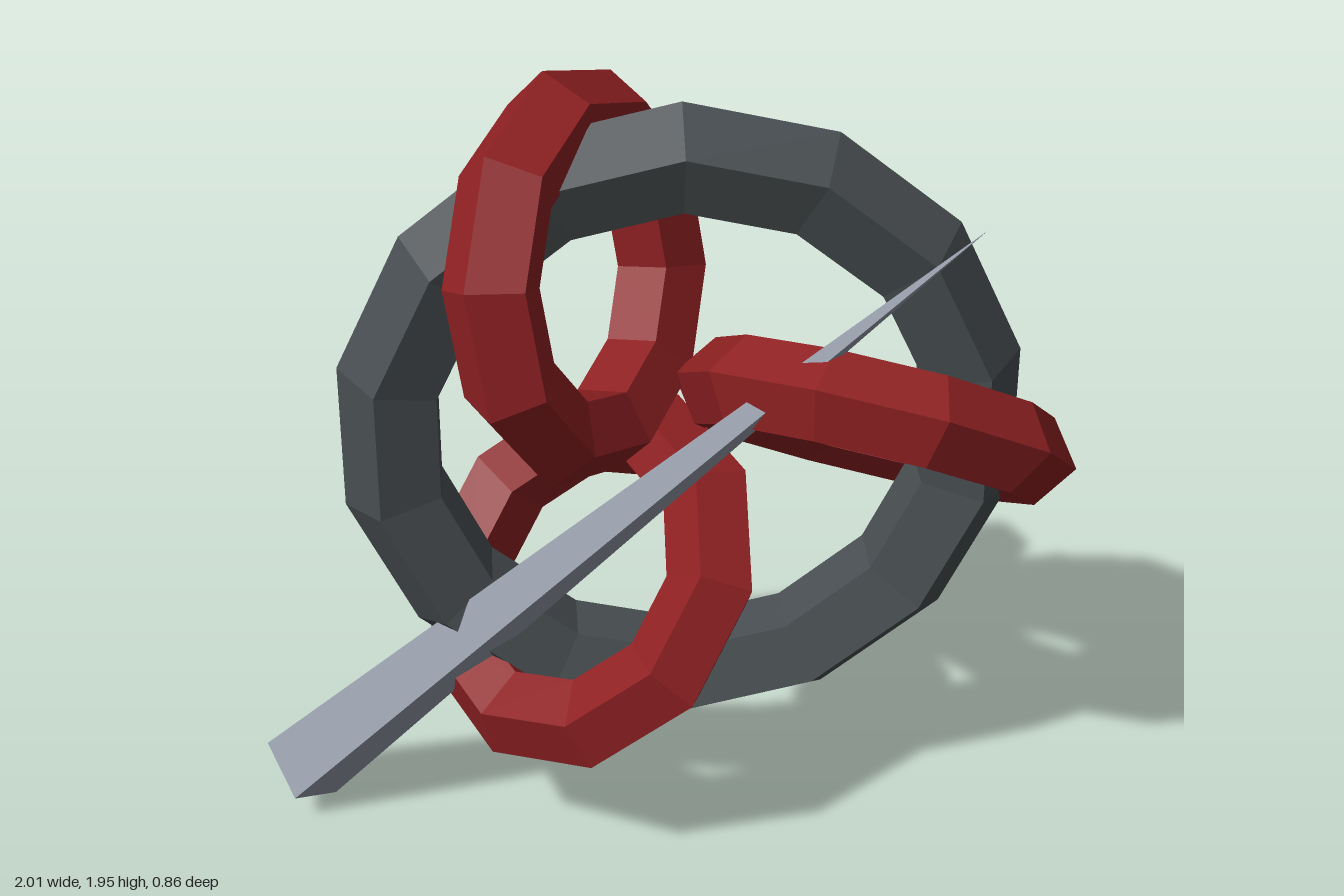
import * as THREE from 'three';

const CENTRE = new THREE.Vector3(0.055, 1.055, 0);

function flatMaterial(name, color) {
  const material = new THREE.MeshStandardMaterial({ color, flatShading: true });
  material.name = name;
  return material;
}

// Faceted ring with a pentagonal tube and a corner at the top
function ring(name, radius, tube, sides, material) {
  const geometry = new THREE.TorusGeometry(radius, tube, 5, sides).rotateZ(Math.PI / 2);
  const mesh = new THREE.Mesh(geometry, material);
  mesh.name = name;
  return mesh;
}

export function createModel() {
  const group = new THREE.Group();
  group.name = 'linkedRings';
  const iron = flatMaterial('darkIron', 0x484e51);
  const red = flatMaterial('deepRed', 0x8e2022);
  const steel = flatMaterial('paleSteel', 0x9298a5);

  // Large upright ring
  const largeRing = ring('largeRing', 0.703, 0.133, 14, iron);
  largeRing.position.copy(CENTRE);
  group.add(largeRing);

  // Three tilted rings linked round the large one
  const Z = new THREE.Vector3(0, 0, 1);
  for (let i = 0; i < 3; i++) {
    const angle = (i * Math.PI * 2) / 3;
    const smallRing = ring('smallRing' + (i + 1), 0.386, 0.114, 10, red);
    smallRing.position.set(0.47, 0, 0).applyAxisAngle(Z, angle).add(CENTRE);
    const normal = new THREE.Vector3(0.268, 0.824, -0.5).applyAxisAngle(Z, angle);
    smallRing.lookAt(normal.add(smallRing.position));
    group.add(smallRing);
  }

  // Long four-sided spike running through the rings
  const base = new THREE.Vector3(-0.92, 0.082, -0.003);
  const tip = new THREE.Vector3(0.705, 1.705, 0.33);
  const axis = tip.clone().sub(base);
  const length = axis.length();
  axis.normalize();
  const side = new THREE.Vector3(-1, 1, 0).normalize();
  const spike = new THREE.Mesh(new THREE.ConeGeometry(0.116, length, 4), steel);
  spike.name = 'spike';
  spike.position.copy(base).add(tip).multiplyScalar(0.5);
  spike.quaternion.setFromRotationMatrix(
    new THREE.Matrix4().makeBasis(side, axis, side.clone().cross(axis))
  );
  group.add(spike);

  return group;
}
